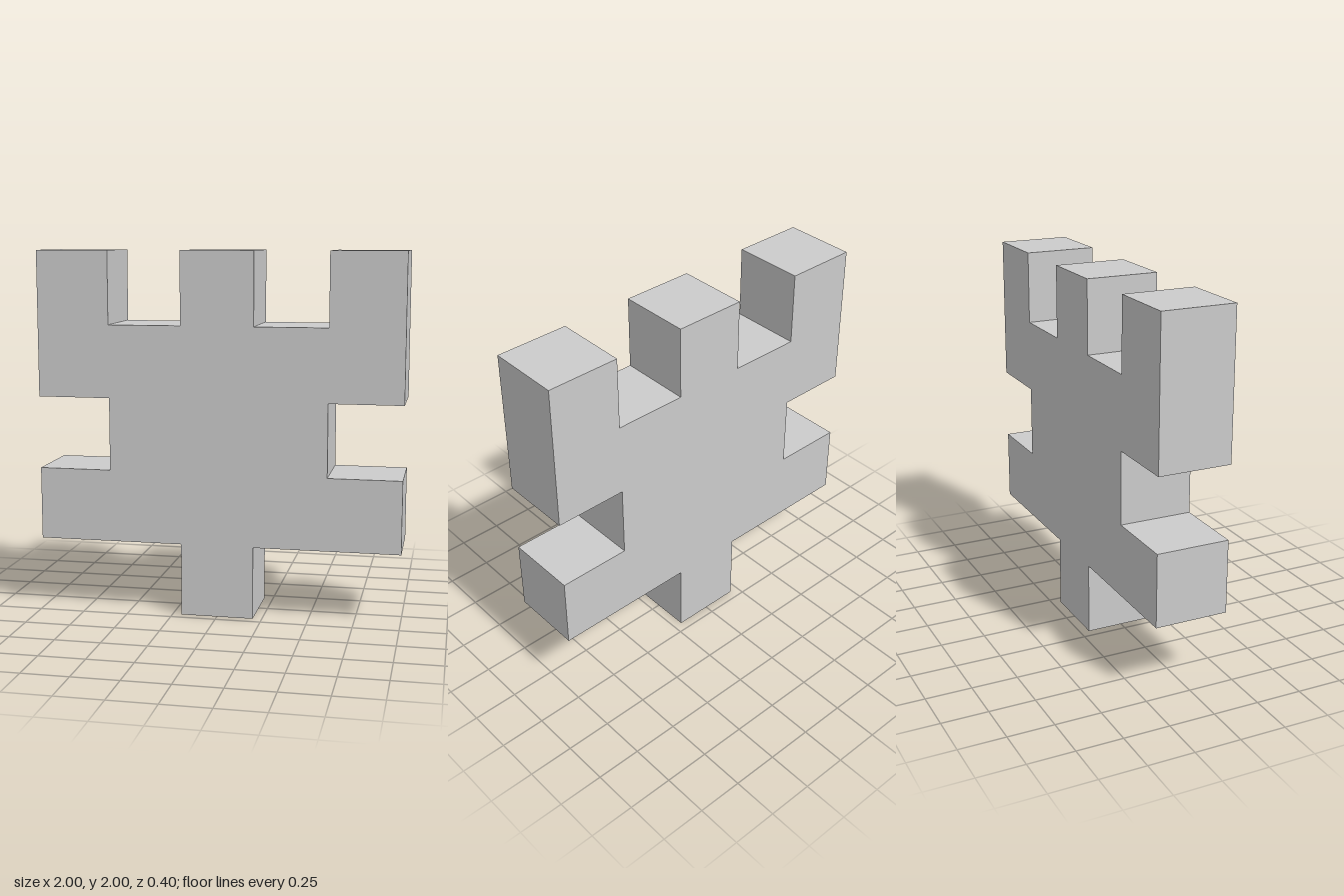
import * as THREE from 'three';

const UNIT = 0.4; // side of one grid square, and the thickness of the piece

// Right half (+x) of the outline, bottom to top, in grid units
const HALF = [
  [0.5, 0], [0.5, 1], [2.5, 1], [2.5, 2], [1.5, 2], [1.5, 3],
  [2.5, 3], [2.5, 5], [1.5, 5], [1.5, 4], [0.5, 4], [0.5, 5],
];

export function createModel() {
  const group = new THREE.Group();
  group.name = 'puzzlePiece';

  // Mirror the half outline to close the notched plate
  const mirrored = HALF.map(([x, y]) => [-x, y]).reverse();
  const outline = [...HALF, ...mirrored].map(([x, y]) => new THREE.Vector2(x * UNIT, y * UNIT));

  // One flat plate with square tabs and notches, centred in depth
  const geometry = new THREE.ExtrudeGeometry(new THREE.Shape(outline), {
    depth: UNIT,
    bevelEnabled: false,
  });
  geometry.translate(0, 0, -UNIT / 2);

  const material = new THREE.MeshStandardMaterial({ color: 0xcccccc, flatShading: true });
  const plate = new THREE.Mesh(geometry, material);
  plate.name = 'notchedPlate';
  group.add(plate);
  return group;
}
